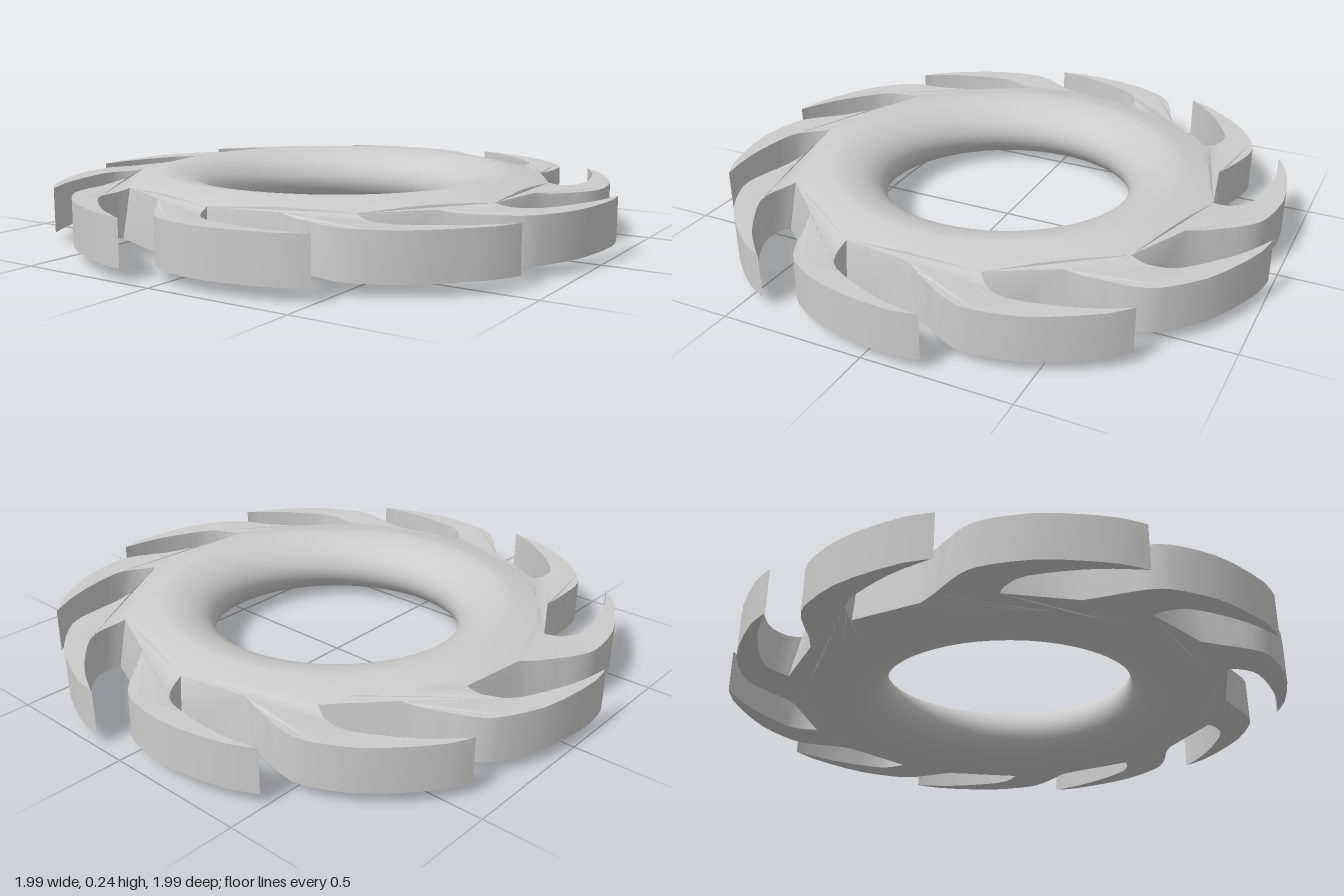
import * as THREE from 'three';
import { toCreasedNormals } from 'three/addons/utils/BufferGeometryUtils.js';

const TEETH = 10, SEGS = 60, MID = 0.119;
const RIDGE = 0.63, JOIN = 0.72, FLAT = 0.8, HOLE = 0.44;
const rad = THREE.MathUtils.degToRad;

// Half thickness: thickest at the ridge, tapering to the flat blades
const half = (r) => {
  const t = THREE.MathUtils.clamp((r - RIDGE) / (FLAT - RIDGE), 0, 1);
  return THREE.MathUtils.lerp(0.118, 0.0775, t);
};

const polar = (deg, r) => new THREE.Vector2(r * Math.cos(rad(deg)), r * Math.sin(rad(deg)));

// One blade: [degrees behind its tip, radius]; the gap narrows towards the bottom
const backTop = [[0, 1], [6.4, 1.0], [18, 0.98], [26.5, 0.951], [31.5, 0.92], [36.2, 0.856], [40.5, 0.8], [44.8, 0.757]];
const backBottom = [[0, 1], [6.4, 1.0], [18, 0.98], [26.5, 0.951], [31.5, 0.922], [35.8, 0.865], [39.5, 0.815], [43.5, 0.782]];
const innerTop = [[63.5, 0.757], [61.7, 0.82], [57.8, 0.88], [50, 0.925], [43.3, 0.964], [36.4, 1]];
const innerBottom = [[61.8, 0.79], [60.3, 0.835], [57, 0.883], [50, 0.925], [43.3, 0.964], [36.4, 1]];

function outline(back, inner) {
  const pts = [];
  for (let k = 0; k < TEETH; k++) {
    const tip = 83.2 - k * 360 / TEETH;
    const curve = (list, n) =>
      new THREE.SplineCurve(list.map(([d, r]) => polar(tip - d, r))).getPoints(n);
    pts.push(...curve(back, 16), ...curve(inner, 12));
  }
  return pts.reverse(); // counter-clockwise
}

function bladeRing() {
  const positions = [];
  const put = (p, side) => positions.push(p.x, MID + side * half(p.length()), -p.y);
  const top = outline(backTop, innerTop);
  const bottom = outline(backBottom, innerBottom);
  const hole = [];
  for (let i = 0; i < SEGS; i++) hole.push(polar(-i * 360 / SEGS, JOIN));

  // Upper and lower faces
  for (const [contour, side] of [[top, 1], [bottom, -1]]) {
    const all = [...contour, ...hole];
    for (const tri of THREE.ShapeUtils.triangulateShape(contour, [hole])) {
      const [a, b, c] = tri.map((i) => all[i]);
      const turn = (b.x - a.x) * (c.y - a.y) - (b.y - a.y) * (c.x - a.x);
      const order = turn * side > 0 ? [a, b, c] : [a, c, b];
      order.forEach((p) => put(p, side));
    }
  }
  // Walls around the blades and gaps
  top.forEach((t0, i) => {
    const j = (i + 1) % top.length;
    put(bottom[i], -1); put(bottom[j], -1); put(top[j], 1);
    put(bottom[i], -1); put(top[j], 1); put(t0, 1);
  });
  const geometry = new THREE.BufferGeometry();
  geometry.setAttribute('position', new THREE.Float32BufferAttribute(positions, 3));
  return toCreasedNormals(geometry, 0.6);
}

function hubRing() {
  // Sloped shoulder, rounded bore, sloped shoulder
  const profile = [new THREE.Vector2(JOIN, MID + half(JOIN))];
  for (let i = 0; i <= 20; i++) {
    const a = Math.PI / 2 - i * Math.PI / 20;
    profile.push(new THREE.Vector2(
      RIDGE - (RIDGE - HOLE) * Math.cos(a), MID + half(RIDGE) * Math.sin(a)));
  }
  profile.push(new THREE.Vector2(JOIN, MID - half(JOIN)));
  return new THREE.LatheGeometry(profile, SEGS);
}

export function createModel() {
  const group = new THREE.Group();
  group.name = 'bladedRing';
  const material = new THREE.MeshStandardMaterial({ color: 0xcccccc });
  const add = (name, geometry) => {
    const mesh = new THREE.Mesh(geometry, material);
    mesh.name = name;
    group.add(mesh);
  };
  add('hub', hubRing());
  add('curvedBlades', bladeRing());
  return group;
}
